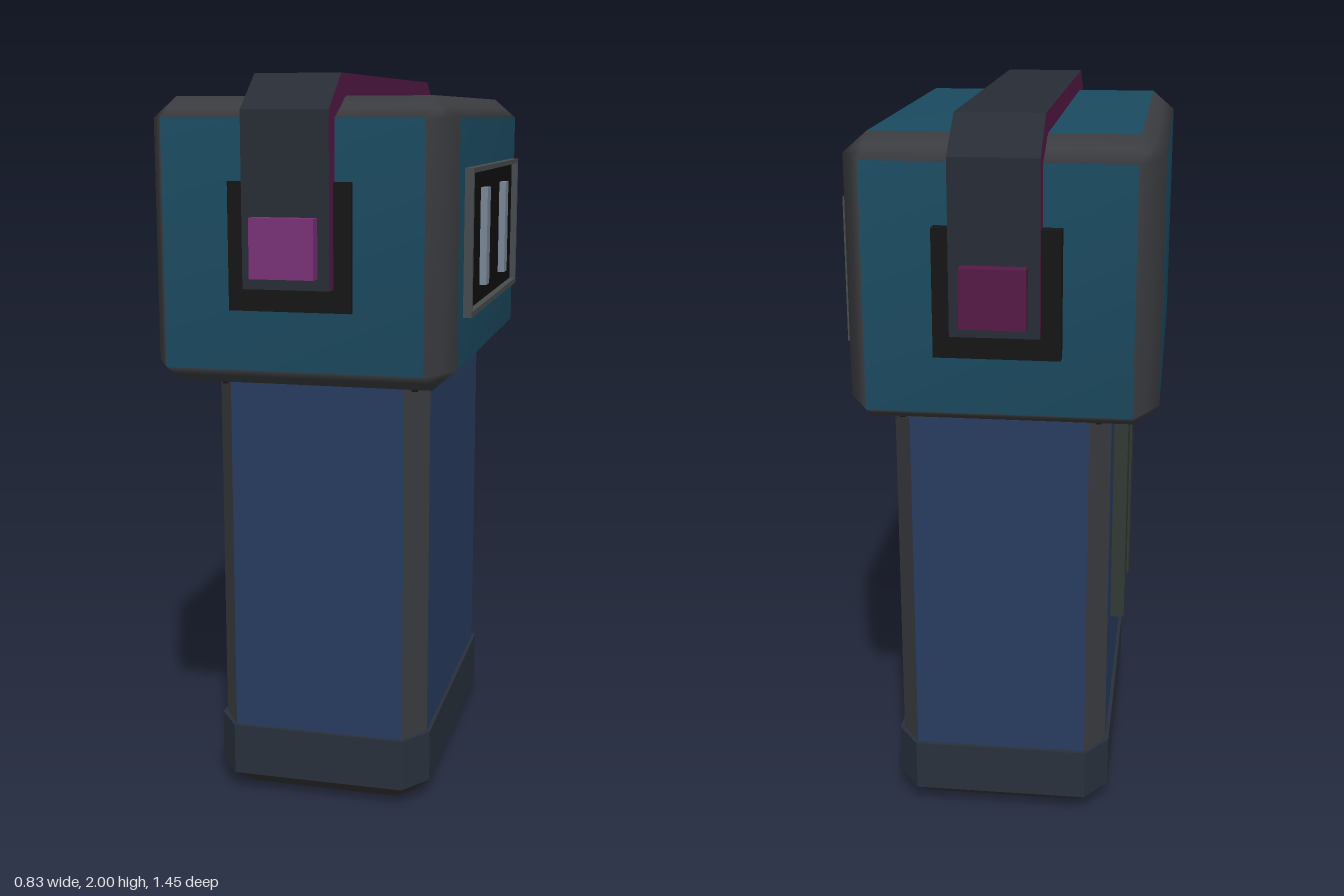
import * as THREE from 'three';
import { mergeVertices } from 'three/addons/utils/BufferGeometryUtils.js';

const mat = (color) => new THREE.MeshStandardMaterial({ color });

const TEAL = mat(0x1b4a60), BLUE = mat(0x273c60), TRIM = mat(0x3b3c40), BAND = mat(0x28303c);
const DARK = mat(0x151517), STRAP = mat(0x272c35), MAGENTA = mat(0x551a46);
const PURPLE = mat(0x783276), FRAME = mat(0x474b4d), SCREEN = mat(0x101011);
const LIGHT = mat(0x788696), VENT = mat(0x323a34);

function add(parent, name, geometry, material) {
  const mesh = new THREE.Mesh(geometry, material);
  mesh.name = name;
  parent.add(mesh);
  return mesh;
}

// Box given by its low and high limits on each axis
function block(parent, name, [x0, x1], [y0, y1], [z0, z1], material) {
  const mesh = add(parent, name, new THREE.BoxGeometry(x1 - x0, y1 - y0, z1 - z0), material);
  mesh.position.set((x0 + x1) / 2, (y0 + y1) / 2, (z0 + z1) / 2);
  return mesh;
}

// Box with bevelled edges and corners, smooth shaded, split into face panels and trim
function bevelledBox(size, inset) {
  let geo = new THREE.BoxGeometry(1, 1, 1, 3, 3, 3);
  geo.deleteAttribute('uv');
  geo.deleteAttribute('normal');
  const pos = geo.attributes.position;
  for (let i = 0; i < pos.count; i++) {
    const p = [pos.getX(i), pos.getY(i), pos.getZ(i)];
    const n = p.filter((v) => Math.abs(v) > 0.4).length;
    const q = p.map((v, k) => {
      const cut = Math.abs(v) > 0.4 ? (inset[k] * (n - 1)) / n : inset[k];
      return Math.sign(v) * (size[k] / 2 - cut);
    });
    pos.setXYZ(i, ...q);
  }
  const index = Array.from(geo.index.array);
  geo.clearGroups();
  geo = mergeVertices(geo, 1e-5);
  geo.computeVertexNormals();
  const merged = Array.from(geo.index.array);
  const pick = (panel) => {
    const part = geo.clone();
    // the middle cell of each 3 x 3 face is the panel
    part.setIndex(merged.filter((_, i) => (Math.floor(i / 6) % 9 === 4) === panel));
    return part;
  };
  return index.length ? { panels: pick(true), trim: pick(false) } : null;
}

// Ring with cut corners: half sizes hx, hz and half lengths fx, fz of the flat sides
function ring(y, hx, hz, fx, fz) {
  return [[hx, -fz], [hx, fz], [fx, hz], [-fx, hz], [-hx, fz], [-hx, -fz], [-fx, -hz], [fx, -hz]]
    .map(([x, z]) => [x, y, z]);
}

// Flat-shaded walls between two rings, keeping chosen sides, with optional caps
function walls(lo, hi, keep, capBottom = false, capTop = false) {
  const tris = [];
  for (let i = 0; i < 8; i++) {
    const j = (i + 1) % 8;
    if (keep(i)) tris.push(lo[i], hi[i], lo[j], lo[j], hi[i], hi[j]);
    if (capBottom && i > 0 && i < 7) tris.push(lo[0], lo[i], lo[j]);
    if (capTop && i > 0 && i < 7) tris.push(hi[0], hi[j], hi[i]);
  }
  const geo = new THREE.BufferGeometry();
  geo.setAttribute('position', new THREE.Float32BufferAttribute(tris.flat(), 3));
  geo.computeVertexNormals();
  return geo;
}

function outline(ShapeType, z0, z1, y0, y1) {
  const s = new ShapeType();
  s.moveTo(z0, y0).lineTo(z1, y0).lineTo(z1, y1).lineTo(z0, y1).closePath();
  return s;
}

export function createModel() {
  const model = new THREE.Group();
  model.name = 'handheldUnit';

  // Handle with cut corners, collar band and tapered sole
  const handle = new THREE.Group();
  handle.name = 'handle';
  handle.position.set(0.004, 0, -0.01);
  model.add(handle);
  const all = () => true;
  const low = ring(0.15, 0.295, 0.472, 0.24, 0.39), high = ring(1.19, 0.295, 0.472, 0.24, 0.39);
  add(handle, 'handlePanels', walls(low, high, (i) => i % 2 === 0), BLUE);
  add(handle, 'handleCorners', walls(low, high, (i) => i % 2 === 1, false, true), TRIM);
  const bandLow = ring(0.055, 0.305, 0.484, 0.243, 0.4);
  const bandHigh = ring(0.2, 0.305, 0.484, 0.243, 0.4);
  add(handle, 'collarBand', walls(bandLow, bandHigh, all, false, true), BAND);
  const soleLow = ring(0, 0.25, 0.41, 0.21, 0.36);
  add(handle, 'sole', walls(soleLow, bandLow, all), mat(0x303032));
  add(handle, 'soleBase', walls(soleLow, bandLow, () => false, true), mat(0x1d2029));
  block(handle, 'neck', [-0.27, 0.27], [1.18, 1.25], [-0.45, 0.45], DARK);

  // Raised strips on the right side of the handle
  for (const z of [-0.165, 0.145]) {
    block(model, 'ventStrip', [-0.33, -0.28], [0.51, 1.19], [z - 0.073, z + 0.073], VENT);
  }

  // Head with coloured panels and dark bevels
  const head = new THREE.Group();
  head.name = 'head';
  head.position.set(-0.013, 1.572, 0.002);
  model.add(head);
  const { panels, trim } = bevelledBox([0.81, 0.746, 1.256], [0.064, 0.055, 0.12]);
  add(head, 'headPanels', panels, TEAL);
  add(head, 'headBevels', trim, TRIM);

  // Display on the left side: frame, dark screen and two light bars
  const frameShape = outline(THREE.Shape, -0.43, 0.43, 1.38, 1.765);
  frameShape.holes.push(outline(THREE.Path, -0.415, 0.415, 1.395, 1.752));
  const frame = add(model, 'displayFrame',
    new THREE.ExtrudeGeometry(frameShape, { depth: 0.035, bevelEnabled: false }), FRAME);
  frame.rotation.y = Math.PI / 2;
  frame.position.x = 0.38;
  block(model, 'screen', [0.37, 0.397], [1.39, 1.757], [-0.42, 0.42], SCREEN);
  for (const z of [0.168, -0.182]) {
    block(model, 'lightBar', [0.38, 0.416], [1.44, 1.705], [z - 0.028, z + 0.028], LIGHT);
  }

  // Strap folded over the head, with coloured edges
  const outer = [[0.685, 1.47], [0.685, 1.91], [0.56, 2.0]];
  const inner = [[0.53, 1.94], [0.622, 1.88], [0.622, 1.47]];
  const flip = (pts) => pts.map(([z, y]) => [-z, y]).reverse();
  const profile = [...outer, ...flip(outer), ...flip(inner), ...inner];
  const strapShape = new THREE.Shape(profile.map(([z, y]) => new THREE.Vector2(z, y)));
  const strap = add(model, 'strap',
    new THREE.ExtrudeGeometry(strapShape, { depth: 0.225, bevelEnabled: false }), [MAGENTA, STRAP]);
  strap.rotation.y = Math.PI / 2;
  strap.position.x = -0.125;

  // Strap mounts and buttons, front and back
  for (const [side, reach, colour] of [[1, 0.645, PURPLE], [-1, 0.665, MAGENTA]]) {
    const span = (a, b) => [side * a, side * b].sort((p, q) => p - q);
    block(model, 'strapMount', [-0.175, 0.145], [1.41, 1.735], span(0.6, reach), DARK);
    block(model, 'strapButton', [-0.095, 0.07], [1.5, 1.65], span(0.67, 0.725), colour);
  }
  return model;
}
